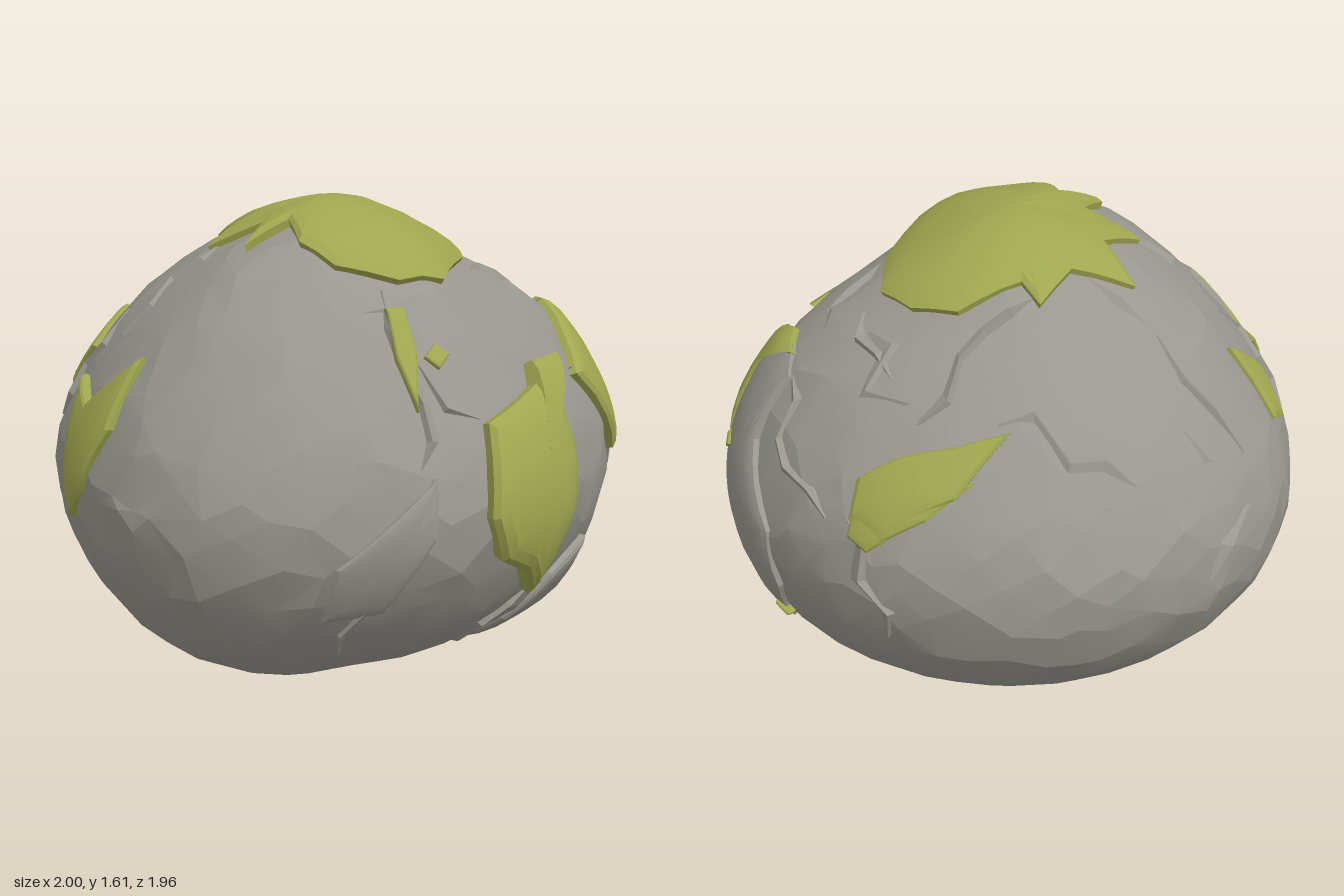
import * as THREE from 'three';
import { mergeVertices, toCreasedNormals } from 'three/addons/utils/BufferGeometryUtils.js';

const CENTER = new THREE.Vector3(0, 0.7, 0);

// Boulder radius every 30 degrees from bottom to top, for +x, +z, -x and -z
const PROFILES = [
  [0.7, 0.77, 0.935, 0.977, 0.9, 0.808, 0.875],
  [0.7, 0.75, 0.86, 0.965, 0.89, 0.895, 0.875],
  [0.7, 0.77, 0.918, 0.98, 0.9, 0.862, 0.875],
  [0.7, 0.755, 0.89, 0.977, 0.855, 0.81, 0.875],
].map((radii) => new THREE.SplineCurve(radii.map((r, i) => new THREE.Vector2(i, r))));
const DIAGONALS = [-0.07, 0.09, 0.02, -0.02]; // extra bulge between neighbouring profiles

// Distance from CENTER to the boulder surface along a unit direction
function surfaceRadius(d) {
  const flat = Math.hypot(d.x, d.z);
  const t = Math.atan2(d.y, flat) / Math.PI + 0.5;
  const turn = (Math.atan2(d.z, d.x) / (Math.PI / 2) + 4) % 4;
  const q = Math.floor(turn), s = Math.sin((turn - q) * Math.PI / 2) ** 2;
  const r = THREE.MathUtils.lerp(PROFILES[q].getPoint(t).y, PROFILES[(q + 1) % 4].getPoint(t).y, s);
  return r * (1 + DIAGONALS[q] * 4 * s * (1 - s) * flat);
}

// Places a flat point from one side on the boulder, raised by lift
const SIDES = {
  front: (u, v, w) => new THREE.Vector3(u, v, w),
  right: (u, v, w) => new THREE.Vector3(w, v, u),
  left: (u, v, w) => new THREE.Vector3(-w, v, u),
  back: (u, v, w) => new THREE.Vector3(u, v, -w),
  top: (u, v, w) => new THREE.Vector3(u, CENTER.y + w, v),
};
function onSurface(side, u, v, lift) {
  const offset = (w) => SIDES[side](u, v, w).sub(CENTER);
  let lo = 0, hi = 1.5;
  for (let i = 0; i < 20; i++) {
    const mid = (lo + hi) / 2, p = offset(mid), length = p.length();
    if (length > surfaceRadius(p.normalize())) hi = mid; else lo = mid;
  }
  const d = offset(lo).normalize();
  return d.clone().multiplyScalar(surfaceRadius(d) + lift).add(CENTER);
}

function seeded(seed) {
  return () => {
    seed = (seed * 16807) % 2147483647;
    return seed / 2147483647 - 0.5;
  };
}

function meshFromRows(name, material, rows, closed, crease) {
  const n = rows[0].length, index = [];
  for (let j = 0; j < rows.length - 1; j++) {
    for (let i = 0; i < (closed ? n : n - 1); i++) {
      const a = j * n + i, b = j * n + (i + 1) % n;
      index.push(a, b, a + n, b, b + n, a + n);
    }
  }
  const geometry = new THREE.BufferGeometry().setFromPoints(rows.flat());
  geometry.setIndex(index);
  const mesh = new THREE.Mesh(toCreasedNormals(geometry, crease), material);
  mesh.name = name;
  return mesh;
}

// Raised plate with a thinned rim that follows the boulder
function plate(name, material, side, lift, outline) {
  const edge = [];
  outline.forEach(([u, v], i) => {
    const [u2, v2] = outline[(i + 1) % outline.length];
    const steps = Math.max(1, Math.round(Math.hypot(u2 - u, v2 - v) / 0.08));
    for (let k = 0; k < steps; k++) edge.push([u + (u2 - u) * k / steps, v + (v2 - v) * k / steps]);
  });
  const cu = edge.reduce((sum, p) => sum + p[0], 0) / edge.length;
  const cv = edge.reduce((sum, p) => sum + p[1], 0) / edge.length;
  const rings = [[0.001, lift], [0.3, lift], [0.55, lift], [0.78, lift], [0.92, lift * 0.85], [1, lift * 0.55], [1, -0.025]];
  const rows = rings.map(([s, h]) => edge.map(([u, v]) => onSurface(side, cu + (u - cu) * s, cv + (v - cv) * s, h)));
  return meshFromRows(name, material, rows, true, 0.35);
}

// Narrow broken ledge zigzagging between two points
function ledge(name, material, side, [u0, v0, u1, v1], rand) {
  const length = Math.hypot(u1 - u0, v1 - v0), steps = Math.max(2, Math.round(length / 0.1));
  const nu = -(v1 - v0) / length, nv = (u1 - u0) / length;
  const sway = Array.from({ length: steps + 1 }, () => rand() * 0.11);
  const rows = [[-0.03, -0.015], [-0.012, 0.016], [0.03, -0.015]].map(([across, lift]) => sway.map((bend, i) => {
    const t = i / steps, taper = i === 0 || i === steps ? 0.15 : 1;
    const w = bend + across * taper;
    return onSurface(side, u0 + (u1 - u0) * t + nu * w, v0 + (v1 - v0) * t + nv * w, lift * taper);
  }));
  return meshFromRows(name, material, rows, false, 0.1);
}

export function createModel() {
  const stone = new THREE.MeshStandardMaterial({ color: 0x99978f, side: THREE.DoubleSide });
  stone.name = 'stone grey';
  const moss = new THREE.MeshStandardMaterial({ color: 0xa0a74f, side: THREE.DoubleSide });
  moss.name = 'moss green';
  const group = new THREE.Group();
  group.name = 'mossyBoulder';
  const rand = seeded(71);

  // Boulder body: jittered sphere, rougher above than below
  const ball = new THREE.IcosahedronGeometry(1, 8);
  ball.deleteAttribute('normal');
  ball.deleteAttribute('uv');
  const body = mergeVertices(ball, 1e-3);
  const pos = body.attributes.position, d = new THREE.Vector3();
  for (let i = 0; i < pos.count; i++) {
    d.fromBufferAttribute(pos, i);
    const rough = d.y > -0.3 ? 0.012 : 0.006;
    d.add(new THREE.Vector3(rand(), rand(), rand()).multiplyScalar(0.08)).normalize();
    d.multiplyScalar(surfaceRadius(d) + rand() * rough).add(CENTER);
    pos.setXYZ(i, d.x, Math.max(d.y, 0), d.z);
  }
  const boulder = new THREE.Mesh(toCreasedNormals(body, 0.2), stone);
  boulder.name = 'boulder';
  group.add(boulder);

  // Broken stone slabs
  group.add(
    plate('rightSlab', stone, 'right', 0.022, [[0.4, 1.04], [0, 1.2], [-0.12, 1.15], [-0.15, 0.95], [-0.36, 0.72], [-0.36, 0.5], [-0.25, 0.3], [-0.1, 0.28], [0.12, 0.45], [0.22, 0.7]]),
    plate('frontSlab', stone, 'front', 0.018, [[-0.29, 0.6], [0.03, 0.86], [0.02, 0.68], [-0.12, 0.42], [-0.31, 0.4]]),
    plate('lowerShard', stone, 'front', 0.03, [[0.73, 0.47], [0.57, 0.38], [0.42, 0.22], [0.3, 0.05], [0.5, 0.1], [0.7, 0.28]]),
  );

  // Moss cap on the summit, ragged along its left and back
  group.add(plate('mossCap', moss, 'top', 0.035, [
    [-0.34, -0.29], [-0.14, -0.25], [-0.01, -0.36], [0.03, -0.28], [0.24, -0.3], [0.37, -0.2], [0.44, -0.05], [0.38, 0.19],
    [0.2, 0.5], [0.03, 0.56], [-0.16, 0.5], [-0.24, 0.38], [-0.23, 0.22], [-0.39, 0.27], [-0.28, 0.12], [-0.45, 0.02], [-0.29, -0.1],
  ]));

  // Front moss on a stone slab that shows along its right edge
  const frontMoss = [[0.22, 0.99], [0.45, 1.05], [0.46, 1.11], [0.6, 1.1], [0.53, 1.03], [0.57, 0.85], [0.56, 0.66], [0.42, 0.38], [0.36, 0.5], [0.25, 0.57], [0.2, 0.72]];
  group.add(
    plate('frontMoss', moss, 'front', 0.06, frontMoss),
    plate('frontMossSlab', stone, 'front', 0.03, frontMoss.map(([x, y]) => [x + 0.035, y - 0.025])),
  );

  // Moss on the sides and back
  group.add(
    plate('rightMoss', moss, 'right', 0.04, [[0.42, 1.02], [0.28, 1.13], [0.1, 1.21], [-0.04, 1.19], [0.25, 1.07], [0.28, 0.92], [0.25, 0.7], [0.34, 0.84]]),
    plate('backRightMoss', moss, 'top', 0.03, [[0.16, -0.68], [0.35, -0.76], [0.58, -0.72], [0.66, -0.62], [0.62, -0.57], [0.5, -0.6], [0.32, -0.66]]),
    plate('backRightMossTail', moss, 'right', 0.025, [[-0.58, 1.03], [-0.75, 1.05], [-0.76, 0.95], [-0.7, 0.82], [-0.64, 0.85]]),
    plate('leftMoss', moss, 'left', 0.03, [[-0.02, 1.03], [0.18, 0.98], [0.36, 1.16], [0.42, 0.95], [0.34, 0.75], [0.23, 0.62], [0.13, 0.82]]),
    plate('backLeftMoss', moss, 'top', 0.02, [[-0.86, -0.36], [-0.8, -0.44], [-0.66, -0.34], [-0.8, -0.25]]),
    plate('mossTongue', moss, 'top', 0.025, [[-0.04, 0.63], [0.02, 0.63], [0.03, 0.73], [0, 0.84], [-0.04, 0.74]]),
  );

  // Small moss specks
  [['front', 0.1, 1.19], ['right', 0.08, 0.83], ['right', -0.26, 0.35]].forEach(([side, u, v], i) => {
    const spot = Array.from({ length: 4 }, (_, k) => [u + 0.045 * Math.cos(k * 1.57), v + 0.035 * Math.sin(k * 1.57)]);
    group.add(plate(`mossSpeck${i + 1}`, moss, side, i ? 0.03 : 0.015, spot));
  });

  // Cracked ledges, each from one end to the other
  const cracks = {
    front: [[0.01, 1.38, 0, 0.86], [0.02, 0.86, -0.22, 0.22], [0.02, 1.15, 0.22, 1.02], [0.45, 0.4, 0.26, 0.04]],
    top: [[-0.18, -0.29, -0.36, -0.42], [-0.02, -0.34, 0.43, -0.56], [0.2, -0.68, -0.22, -0.8], [-0.64, -0.62, -0.37, -0.45], [0.5, -0.4, 0.5, -0.08], [0.4, 0.22, 0.62, 0.08], [-0.4, 0.03, -0.85, 0.05]],
    right: [[-0.13, 1.17, -0.52, 0.83], [-0.18, 1.28, -0.5, 1.24], [-0.62, 0.92, -0.73, 0.5], [0.66, 0.46, 0.36, 0.06]],
    left: [[-0.08, 1.22, -0.14, 0.85]],
    back: [[-0.45, 1.1, -0.4, 0.85], [-0.6, 0.85, -0.5, 0.64]],
  };
  for (const [side, lines] of Object.entries(cracks)) {
    lines.forEach((line, i) => group.add(ledge(`${side}CrackLedge${i + 1}`, stone, side, line, rand)));
  }
  return group;
}
